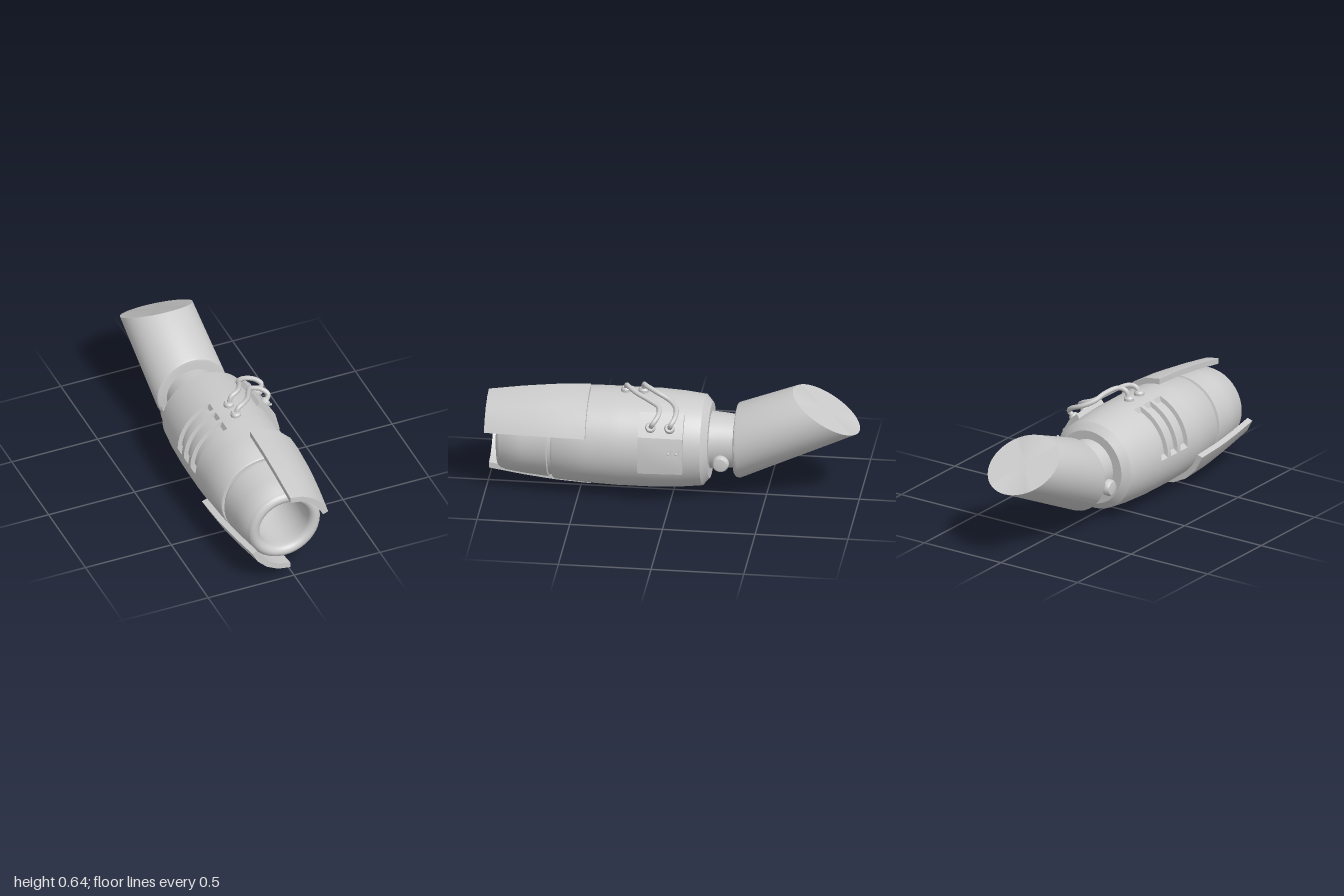
import * as THREE from 'three';
import { toCreasedNormals } from 'three/addons/utils/BufferGeometryUtils.js';

const CX = -0.022, CY = 0.296; // long axis of the body
const rad = THREE.MathUtils.degToRad;

// Outer body profile: [z, radius]
const HULL = [[-0.2, 0.205], [-0.165, 0.245], [-0.05, 0.258], [0.1, 0.266], [0.3, 0.267], [0.45, 0.262], [0.63, 0.25]];
const PLATE = [[0.45, 0.295], [0.65, 0.283], [0.82, 0.262], [1, 0.234]];

function radiusAt(profile, z) {
  for (let i = 1; i < profile.length; i++) {
    const [z0, r0] = profile[i - 1], [z1, r1] = profile[i];
    if (z <= z1) return THREE.MathUtils.mapLinear(z, z0, z1, r0, r1);
  }
  return profile[profile.length - 1][1];
}

// Point on the body by angle (degrees from +x), radius and z
const polar = (deg, r, z) => new THREE.Vector3(CX + r * Math.cos(rad(deg)), CY + r * Math.sin(rad(deg)), z);

// Lathe turned around the long axis, from [z, radius] rows
function latheZ(rows, segments) {
  const geo = new THREE.LatheGeometry(rows.map(([z, r]) => new THREE.Vector2(r, z)), segments);
  return geo.rotateX(Math.PI / 2).translate(CX, CY, 0);
}

// Curved plate: a box bent around the long axis
function bentPlate(a0, a1, z0, z1, thick, profile, segs, rows) {
  const geo = new THREE.BoxGeometry(1, 1, 1, segs, 1, rows);
  const p = geo.attributes.position;
  for (let i = 0; i < p.count; i++) {
    const z = THREE.MathUtils.lerp(z0, z1, p.getZ(i) + 0.5);
    const a = THREE.MathUtils.lerp(a1, a0, p.getX(i) + 0.5);
    const v = polar(a, radiusAt(profile, z) - (p.getY(i) < 0 ? thick : 0), z);
    p.setXYZ(i, v.x, v.y, v.z);
  }
  return toCreasedNormals(geo, 0.6);
}

// Skin over elliptical loops: { y, z, rx, uy, uz }, running towards -z
function loft(loops, n) {
  const pos = [], index = [];
  loops.forEach(({ y, z, rx, uy, uz = 0 }, i) => {
    for (let j = 0; j < n; j++) {
      const t = j / n * Math.PI * 2, s = Math.sin(t);
      pos.push(CX + rx * Math.cos(t), y + uy * s, z + uz * s);
      if (i === loops.length - 1) continue;
      const a = i * n + j, b = a + n, d = i * n + (j + 1) % n, c = d + n;
      index.push(a, b, c, a, c, d);
    }
  });
  const geo = new THREE.BufferGeometry();
  geo.setAttribute('position', new THREE.Float32BufferAttribute(pos, 3));
  geo.setIndex(index);
  return toCreasedNormals(geo, 0.6);
}

export function createModel() {
  const group = new THREE.Group();
  const grey = new THREE.MeshStandardMaterial({ color: 0xcccccc, side: THREE.DoubleSide });
  const add = (name, geo) => {
    const mesh = new THREE.Mesh(geo, grey);
    mesh.name = name;
    group.add(mesh);
    return mesh;
  };

  // Main body with three vent slots pressed into its side
  const slots = [[0.09, 0.15], [0.175, 0.24], [0.265, 0.335]];
  const zs = HULL.map(([z]) => z);
  for (const [a, b] of slots) zs.push(a, a + 0.004, b - 0.004, b);
  zs.sort((a, b) => a - b);
  const hullRows = [[-0.2, 0.1], ...zs.map(z => [z, radiusAt(HULL, z)]), [0.64, 0.243], [0.64, 0.2]];
  const hull = latheZ(hullRows, 80);
  const p = hull.attributes.position;
  for (let i = 0; i < p.count; i++) {
    const dx = p.getX(i) - CX, dy = p.getY(i) - CY, z = p.getZ(i);
    const a = Math.atan2(dy, dx) * 180 / Math.PI;
    const inSlot = slots.some(([z0, z1]) => z > z0 + 0.002 && z < z1 - 0.002);
    if (inSlot && a > 109 && a < 177) {
      const k = 1 - 0.024 / Math.hypot(dx, dy);
      p.setXY(i, CX + dx * k, CY + dy * k);
    }
  }
  add('body', toCreasedNormals(hull, 0.6));

  // Front sleeve: tapered outside, rounded lip, hollow bore
  const sleeve = [[0.6, 0.228], [0.66, 0.228], [0.665, 0.24], [0.8, 0.228], [0.9, 0.214]];
  for (let i = 0; i <= 8; i++) {
    const t = i / 8 * Math.PI;
    sleeve.push([0.905 + 0.037 * Math.sin(t), 0.177 + 0.033 * Math.cos(t)]);
  }
  sleeve.push([0.86, 0.146], [0.7, 0.146], [0.6, 0.135], [0.53, 0.105], [0.49, 0.06], [0.475, 0.0001]);
  add('frontSleeve', toCreasedNormals(latheZ(sleeve, 40), 0.6));

  // Two opposite armour plates
  add('upperPlate', bentPlate(19, 90, 0.45, 1, 0.032, PLATE, 4, 6));
  add('lowerPlate', bentPlate(199, 270, 0.45, 1, 0.032, PLATE, 4, 6));

  // Neck joint with a round bolt on each side
  add('neck', loft([
    { y: 0.3, z: -0.18, rx: 0.152, uy: 0.156 },
    { y: 0.3, z: -0.26, rx: 0.146, uy: 0.15 },
    { y: 0.298, z: -0.345, rx: 0.146, uy: 0.143 },
  ], 32));
  for (const side of [-1, 1]) {
    const bolt = add(side > 0 ? 'leftBolt' : 'rightBolt', toCreasedNormals(new THREE.LatheGeometry(
      [[0.026, 0], [0.026, 0.02], [0.045, 0.022], [0.045, 0.04], [0.036, 0.054], [0.0001, 0.06]]
        .map(([r, h]) => new THREE.Vector2(r, h)), 20), 0.7));
    bolt.rotation.z = -side * Math.PI / 2;
    bolt.position.set(CX + side * 0.142, 0.24, -0.27);
  }

  // Tilted rear sleeve, cut off at a slant
  add('rearSleeve', loft([
    { y: 0.3, z: -0.335, rx: 0.0001, uy: 0.0001 },
    { y: 0.305, z: -0.335, rx: 0.186, uy: 0.186 },
    { y: 0.305, z: -0.342, rx: 0.198, uy: 0.198, uz: 0.004 },
    { y: 0.306, z: -0.356, rx: 0.204, uy: 0.204, uz: 0.008 },
    { y: 0.51, z: -0.82, rx: 0.198, uy: 0.11, uz: 0.18 },
    { y: 0.51, z: -0.82, rx: 0.0001, uy: 0.0001 },
  ], 48));

  // Control panel on the left side, with a thinner upper part
  const panelOuter = [[-0.075, 0.289], [0.165, 0.297]];
  add('panelLower', bentPlate(-17, 24, -0.075, 0.165, 0.04, panelOuter, 2, 1));
  add('panelUpper', bentPlate(24, 52, -0.075, 0.165, 0.04, panelOuter.map(([z, r]) => [z, r - 0.004]), 2, 1));

  // Two switches, each a small frame with a pair of levers
  for (const z of [-0.003, -0.046]) {
    add('switchFrame', bentPlate(5, 13, z - 0.013, z + 0.013, 0.02, [[-0.1, 0.297], [0.2, 0.3]], 1, 1));
    const path = new THREE.LineCurve3(polar(9, 0.285, z), polar(9.5, 0.322, z));
    add('switchLever', new THREE.TubeGeometry(path, 1, 0.005, 8));
    const tip = add('switchTip', new THREE.SphereGeometry(0.007, 10, 8));
    tip.position.copy(path.v2);
  }

  // Collar standing on the surface at an angle around the body
  const collar = (deg, r, z) => {
    const mesh = add('cableCollar', toCreasedNormals(new THREE.LatheGeometry(
      [[0.028, 0], [0.028, 0.018], [0.021, 0.028], [0.0001, 0.028]]
        .map(([x, y]) => new THREE.Vector2(x, y)), 16), 0.6));
    mesh.position.copy(polar(deg, r, z));
    mesh.rotation.z = rad(deg - 90);
  };

  // Two cables from the top of the body to the panel
  const cables = [
    { z0: 0.165, z1: -0.003, mid: [[-0.005, 0.613, 0.16], [0.035, 0.625, 0.145], [0.075, 0.607, 0.08], [0.1, 0.577, 0.01], [0.15, 0.552, -0.03], [0.215, 0.525, -0.03], [0.245, 0.496, -0.012]] },
    { z0: 0.26, z1: 0.1, mid: [[-0.005, 0.603, 0.255], [0.03, 0.612, 0.24], [0.075, 0.597, 0.19], [0.11, 0.575, 0.12], [0.145, 0.553, 0.065], [0.205, 0.53, 0.06], [0.242, 0.497, 0.085]] },
  ];
  for (const { z0, z1, mid } of cables) {
    collar(90, 0.262, z0);
    collar(35, 0.283, z1);
    const curve = new THREE.CatmullRomCurve3([
      polar(90, 0.275, z0), ...mid.map(m => new THREE.Vector3(...m)), polar(35, 0.29, z1),
    ]);
    add('cable', new THREE.TubeGeometry(curve, 48, 0.0135, 10));
  }

  return group;
}
